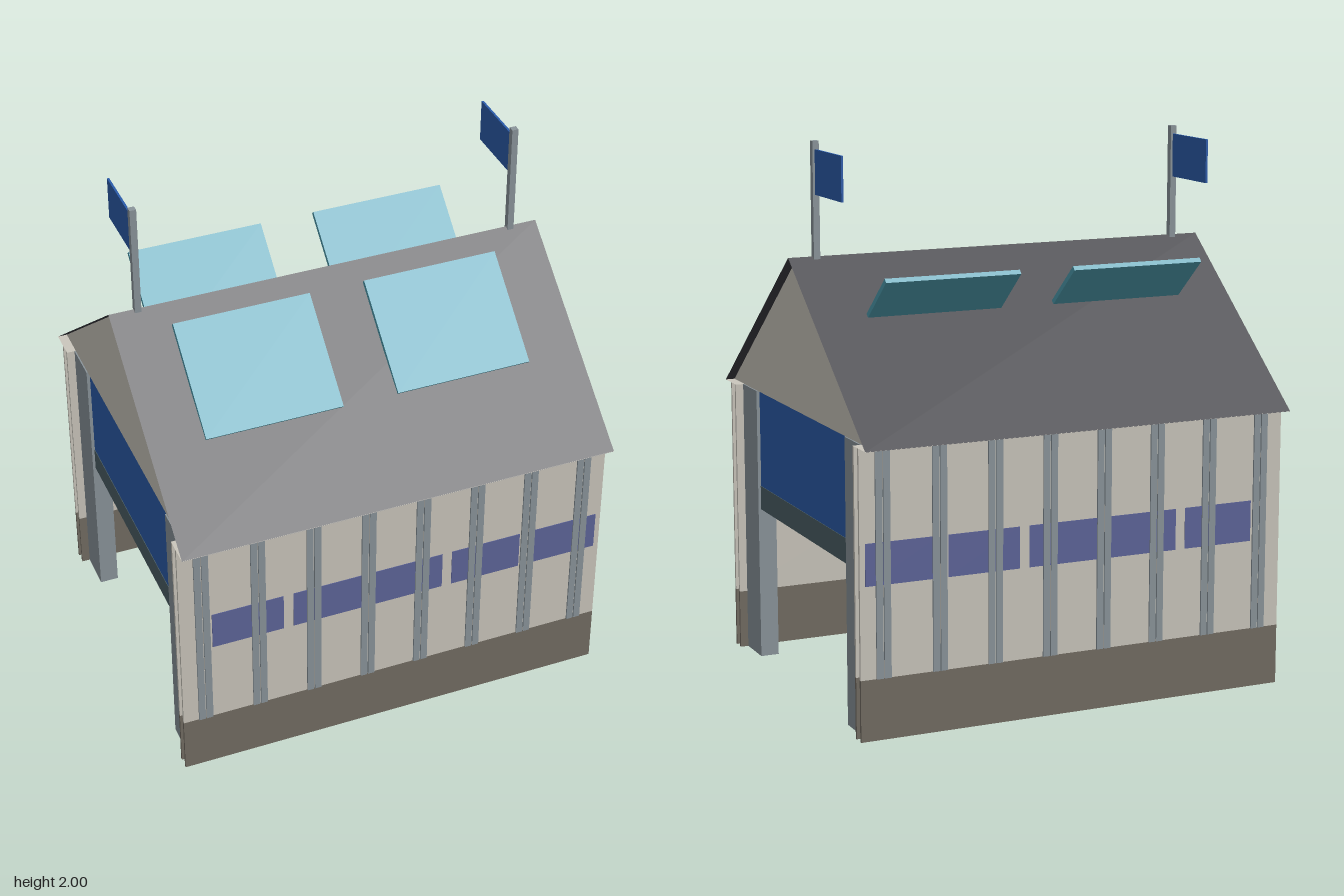
import * as THREE from 'three';

const mat = (name, color, side = THREE.FrontSide) => {
  const m = new THREE.MeshStandardMaterial({ color, side });
  m.name = name;
  return m;
};

export function createModel() {
  const cream = mat('cream wall', 0xcbc7bd, THREE.DoubleSide);
  const brown = mat('brown plinth', 0x736d63);
  const grey = mat('steel grey', 0x8b959b);
  const dark = mat('charcoal roof', 0x39393f, THREE.DoubleSide);
  const teal = mat('teal panel', 0x4e9eb0);
  const blue = mat('blue', 0x2b5cab);
  const violet = mat('violet window', 0x5e659a);
  const slate = mat('slate door edge', 0x4d6067);

  const model = new THREE.Group();
  const add = (name, geometry, material) => {
    const mesh = new THREE.Mesh(geometry, material);
    mesh.name = name;
    model.add(mesh);
    return mesh;
  };
  // Box given by its lower and upper limits on each axis
  const box = (name, material, [x0, x1], [y0, y1], [z0, z1]) => {
    const mesh = add(name, new THREE.BoxGeometry(x1 - x0, y1 - y0, Math.abs(z1 - z0)), material);
    mesh.position.set((x0 + x1) / 2, (y0 + y1) / 2, (z0 + z1) / 2);
    return mesh;
  };

  const eaveY = 1.03, ridgeY = 1.59, eaveZ = 0.715, halfX = 0.82, baseY = 0.22;
  const slope = Math.atan2(ridgeY - eaveY, eaveZ);
  const slopeLength = Math.hypot(ridgeY - eaveY, eaveZ);

  // Long walls, the same on front and back
  for (const s of [1, -1]) {
    const depth = (a, b) => [s * a, s * b];

    // Two skins around a shorter core
    for (const [name, m, ys] of [['plinth', brown, [0, baseY]], ['wall', cream, [baseY, eaveY]]]) {
      box(name + 'OuterSkin', m, [-halfX, halfX], ys, depth(0.642, 0.652));
      box(name + 'InnerSkin', m, [-halfX, halfX], ys, depth(0.6, 0.61));
      box(name + 'Core', m, [-0.79, 0.79], ys, depth(0.61, 0.642));
    }

    // Row of windows
    for (let i = 0; i < 5; i++) {
      const x = -0.7 + i * 0.3075;
      box('window', violet, [x, x + 0.27], [0.55, 0.7], depth(0.651, 0.654));
    }

    // Paired vertical ribs
    for (let i = 0; i < 8; i++) {
      const x = -0.735 + i * 0.21;
      box('ribLeft', grey, [x + 0.002, x + 0.027], [baseY, eaveY], depth(0.65, 0.658));
      box('ribRight', grey, [x - 0.027, x - 0.002], [baseY, eaveY], depth(0.65, 0.658));
    }

    // Soffit under the eave
    const soffit = add('soffit', new THREE.PlaneGeometry(2 * halfX, 0.115).rotateX(Math.PI / 2), cream);
    soffit.position.set(0, eaveY + 0.001, s * (eaveZ - 0.0575));

    // Roof slope
    const roof = add('roofSlope',
      new THREE.PlaneGeometry(2 * halfX, slopeLength).rotateX(-Math.PI / 2 + s * slope), dark);
    roof.position.set(0, (eaveY + ridgeY) / 2, s * eaveZ / 2);
  }

  // End walls: gable, pillars, rolled door and flag
  for (const s of [1, -1]) {
    const across = (a, b) => (s > 0 ? [a, b] : [-b, -a]);

    const triangle = new THREE.Shape([
      new THREE.Vector2(-eaveZ, eaveY),
      new THREE.Vector2(eaveZ, eaveY),
      new THREE.Vector2(0, ridgeY),
    ]);
    const gable = add('gable', new THREE.ShapeGeometry(triangle).rotateY(s * Math.PI / 2), cream);
    gable.position.x = s * 0.785;

    for (const t of [1, -1]) {
      box('pillar', grey, across(0.72, 0.79), [0, eaveY], [t * 0.45, t * 0.6]);
    }
    box('door', blue, across(0.745, 0.778), [0.665, eaveY], [-0.45, 0.45]);
    box('doorEdge', slate, across(0.735, 0.78), [0.575, 0.665], [-0.45, 0.45]);

    box('flagPole', grey, across(0.703, 0.727), [1.57, 2], [-0.012, 0.012]);
    box('flag', blue, across(0.711, 0.719), [1.81, 1.97], [-0.265, -0.012]);
  }

  // Roof panels, all tilted toward the front; the rear ones pass through the roof
  for (const z of [0.245, -0.245]) {
    for (const x of [-0.36, 0.36]) {
      const panel = add('roofPanel', new THREE.BoxGeometry(0.512, 0.018, 0.425), teal);
      panel.position.set(x, 1.412, z);
      panel.rotation.x = 0.712;
    }
  }

  return model;
}
